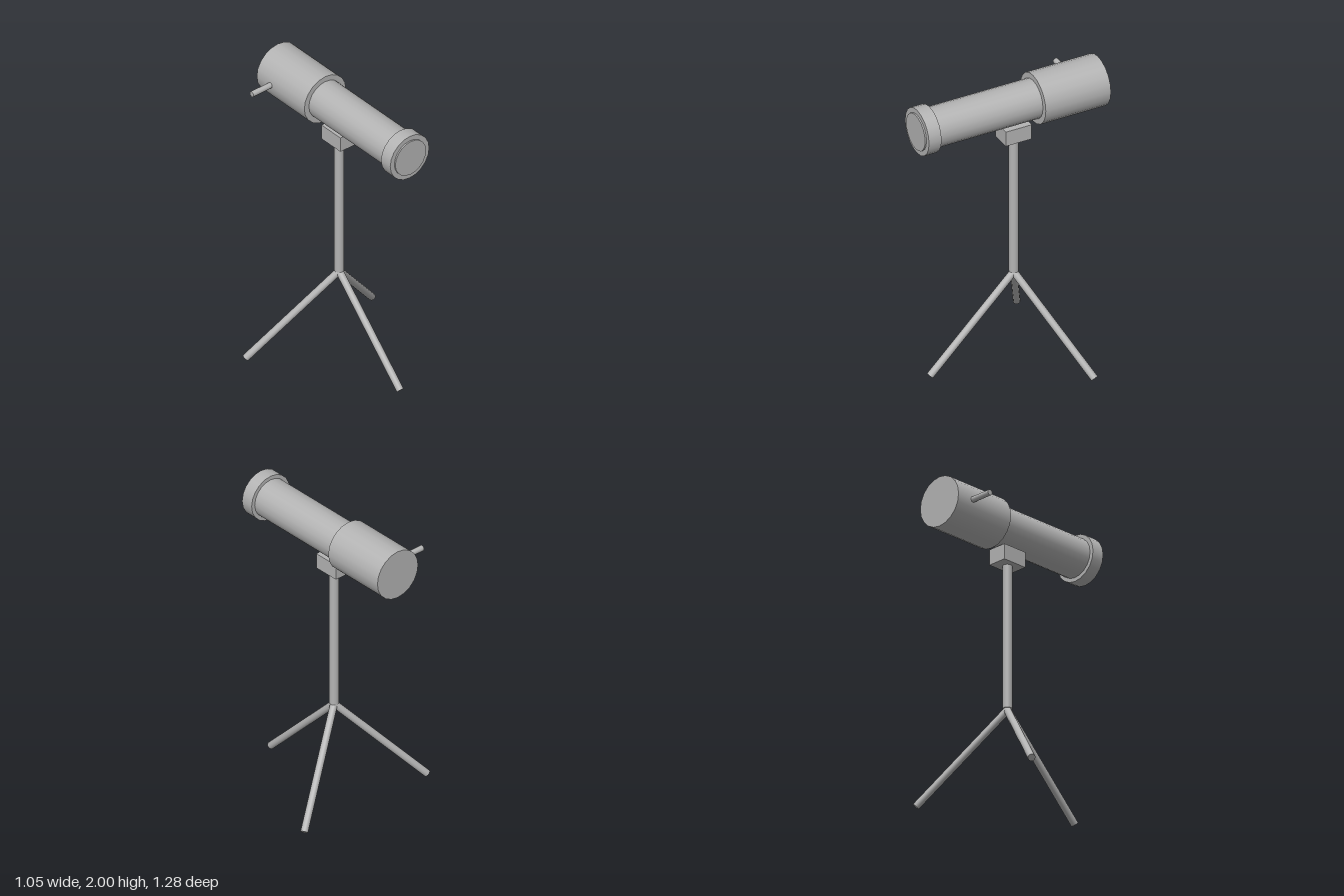
import * as THREE from 'three';

export function createModel() {
  const model = new THREE.Group();
  model.name = 'telescopeOnTripod';
  const grey = new THREE.MeshStandardMaterial({ color: 0xb4b4b4 });
  grey.name = 'matt grey';

  const AXIS_Y = 1.833; // height of the optical axis
  const POLE_Z = -0.048;

  // round rod or barrel between two points
  function rod(name, from, to, radius, sides = 18) {
    const a = new THREE.Vector3(...from);
    const b = new THREE.Vector3(...to);
    const dir = b.clone().sub(a);
    const mesh = new THREE.Mesh(new THREE.CylinderGeometry(radius, radius, dir.length(), sides), grey);
    mesh.name = name;
    mesh.position.copy(a).add(b).multiplyScalar(0.5);
    mesh.quaternion.setFromUnitVectors(new THREE.Vector3(0, 1, 0), dir.normalize());
    model.add(mesh);
    return mesh;
  }

  // optical tube, from back to front
  const barrel = (name, z0, z1, radius) => rod(name, [0, AXIS_Y, z0], [0, AXIS_Y, z1], radius, 20);
  barrel('rearBarrel', -0.64, -0.183, 0.168);
  barrel('mainTube', -0.2, 0.6, 0.131);
  barrel('frontRing', 0.542, 0.63, 0.157);
  barrel('frontLens', 0.6, 0.64, 0.124);

  // eyepiece on the right side
  rod('eyepiece', [-0.14, AXIS_Y, -0.512], [-0.316, AXIS_Y, -0.512], 0.019, 14);

  // mount block and pole
  const block = new THREE.Mesh(new THREE.BoxGeometry(0.132, 0.104, 0.182), grey);
  block.name = 'mountBlock';
  block.position.set(0, 1.637, POLE_Z);
  model.add(block);
  rod('pole', [0, 0.612, POLE_Z], [0, 1.6, POLE_Z], 0.031, 16);

  // three splayed legs, one pointing forward
  const spread = 0.587;
  for (let i = 0; i < 3; i++) {
    const angle = (i * Math.PI * 2) / 3;
    const foot = [Math.sin(angle) * spread, 0.017, POLE_Z + Math.cos(angle) * spread];
    rod('leg' + (i + 1), [0, 0.604, POLE_Z], foot, 0.024, 14);
  }

  return model;
}
